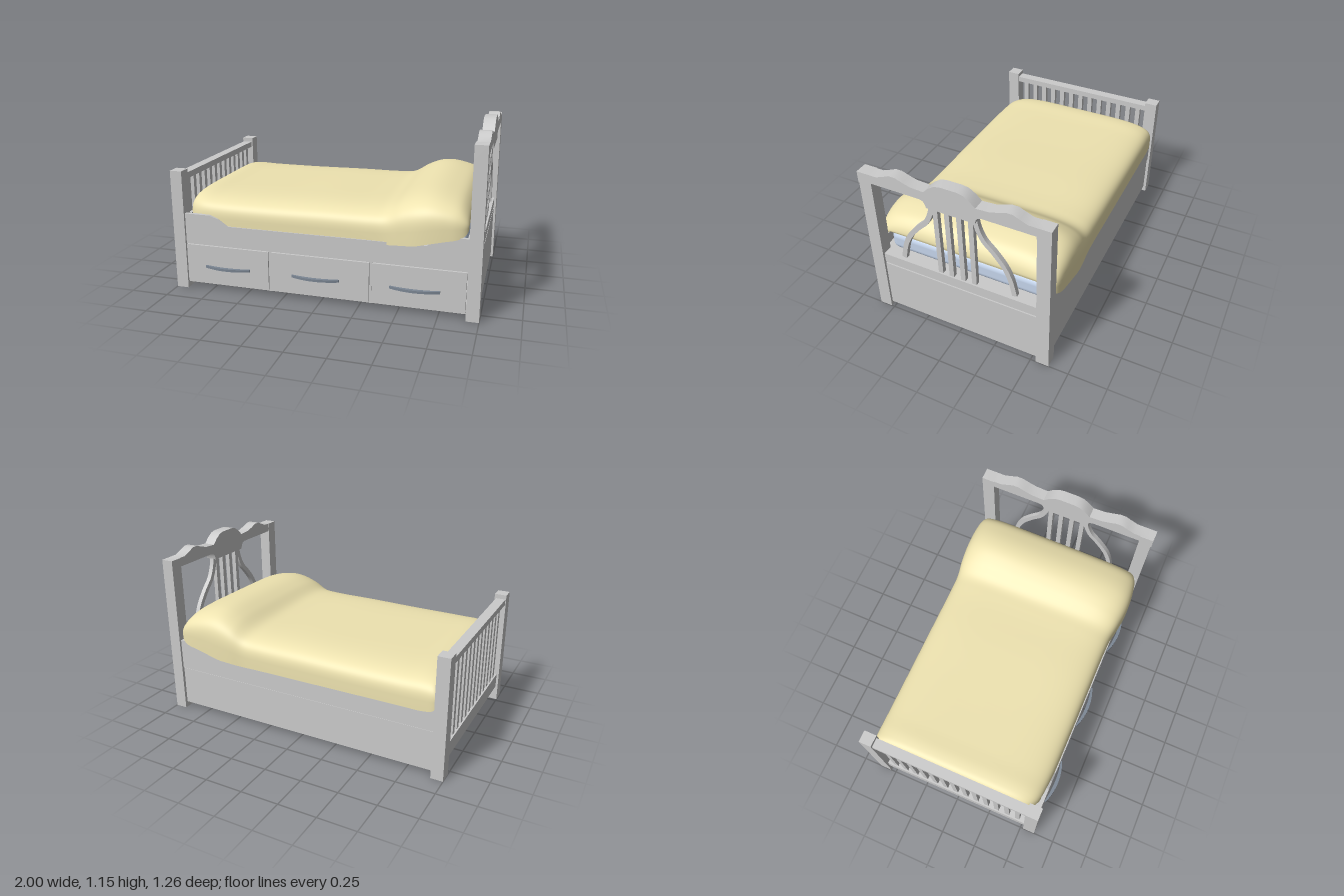
import * as THREE from 'three';
import { RoundedBoxGeometry } from 'three/addons/geometries/RoundedBoxGeometry.js';
import { toCreasedNormals } from 'three/addons/utils/BufferGeometryUtils.js';

const wood = new THREE.MeshStandardMaterial({ color: 0xcccccc });
const cloth = new THREE.MeshStandardMaterial({ color: 0xeee3b0, side: THREE.DoubleSide });
const sheet = new THREE.MeshStandardMaterial({ color: 0xc5d5ec });
const metal = new THREE.MeshStandardMaterial({ color: 0x7c8794 });

function add(parent, name, geometry, material = wood) {
  const mesh = new THREE.Mesh(geometry, material);
  mesh.name = name;
  parent.add(mesh);
  return mesh;
}

// Box given by its limits on each axis
function box(parent, name, [x0, x1], [y0, y1], [z0, z1]) {
  const g = new THREE.BoxGeometry(x1 - x0, y1 - y0, z1 - z0);
  g.translate((x0 + x1) / 2, (y0 + y1) / 2, (z0 + z1) / 2);
  return add(parent, name, g);
}

// Shape drawn across the bed (z, y), extruded along x
function acrossBed(shape, x0, x1) {
  const g = new THREE.ExtrudeGeometry(shape, { depth: x1 - x0, bevelEnabled: false, curveSegments: 10 });
  g.rotateY(Math.PI / 2);
  g.translate(x0, 0, -0.005);
  return toCreasedNormals(g, 0.5);
}

// Posts at both sides of one end
function posts(parent, x, height) {
  box(parent, 'frontPost', x, [0, height], [0.52, 0.605]);
  box(parent, 'backPost', x, [0, height], [-0.62, -0.535]);
}

function headboard() {
  const g = new THREE.Group();
  g.name = 'headboard';
  posts(g, [0.92, 1], 1.08);

  // Scalloped top rail with a central crest
  const half = [[0.615, 1.08], [0.48, 1.08], [0.43, 1.1], [0.39, 1.118], [0.35, 1.118], [0.3, 1.1],
    [0.25, 1.085], [0.165, 1.08], [0.13, 1.115], [0.09, 1.142], [0.05, 1.15]];
  const under = [[0.157, 0.97], [0.163, 0.995], [0.175, 1.013], [0.2, 1.02], [0.527, 1.02], [0.527, 1.0], [0.615, 1.0]];
  const right = [...under, ...half];
  const left = right.map(([z, y]) => [-z, y]).reverse();
  const rail = new THREE.Shape([...right, ...left].map(([z, y]) => new THREE.Vector2(z, y)));
  add(g, 'topRail', acrossBed(rail, 0.924, 1));

  // Straight and curved spindles
  for (const z of [0.113, 0.037, -0.042, -0.118]) {
    box(g, 'spindle', [0.945, 0.975], [0.45, 0.98], [z - 0.016, z + 0.016]);
  }
  const path = new THREE.SplineCurve([[0.14, 0.98], [0.153, 0.91], [0.19, 0.83], [0.25, 0.765],
    [0.315, 0.68], [0.355, 0.59], [0.38, 0.48]].map(p => new THREE.Vector2(...p)));
  for (const side of [1, -1]) {
    const a = [], b = [];
    for (let i = 0; i <= 24; i++) {
      const p = path.getPoint(i / 24), t = path.getTangent(i / 24);
      a.push(new THREE.Vector2(side * (p.x - t.y * 0.016), p.y + t.x * 0.016));
      b.unshift(new THREE.Vector2(side * (p.x + t.y * 0.016), p.y - t.x * 0.016));
    }
    add(g, 'curvedSpindle', acrossBed(new THREE.Shape([...a, ...b]), 0.945, 0.975));
  }

  // Lower rail and panel
  box(g, 'lowerRail', [0.925, 0.985], [0.39, 0.46], [-0.54, 0.525]);
  box(g, 'groove', [0.93, 0.975], [0.37, 0.4], [-0.54, 0.525]);
  box(g, 'lowerPanel', [0.925, 0.985], [0.03, 0.38], [-0.54, 0.525]);
  return g;
}

function footboard() {
  const g = new THREE.Group();
  g.name = 'footboard';
  posts(g, [-1, -0.92], 0.8);
  box(g, 'topRail', [-0.995, -0.93], [0.73, 0.77], [-0.54, 0.525]);
  box(g, 'bottomRail', [-0.985, -0.93], [0.1, 0.2], [-0.54, 0.525]);
  for (let i = 0; i < 13; i++) {
    const z = -0.475 + i * 0.078;
    box(g, 'slat', [-0.975, -0.945], [0.19, 0.74], [z - 0.017, z + 0.017]);
  }
  return g;
}

function base() {
  const g = new THREE.Group();
  g.name = 'base';
  // Front rail with a lowered middle
  const outline = [[-0.925, 0.31], [0.925, 0.31], [0.925, 0.515], [0.77, 0.515], [0.72, 0.495],
    [0.67, 0.45], [-0.62, 0.45], [-0.69, 0.495], [-0.75, 0.515], [-0.925, 0.515]];
  const rail = new THREE.ExtrudeGeometry(new THREE.Shape(outline.map(p => new THREE.Vector2(...p))),
    { depth: 0.025, bevelEnabled: false });
  rail.translate(0, 0, 0.565);
  add(g, 'frontRail', rail);
  box(g, 'backRail', [-0.925, 0.925], [0.31, 0.515], [-0.605, -0.575]);
  box(g, 'backPanel', [-0.925, 0.925], [0.04, 0.305], [-0.6, -0.575]);
  box(g, 'footPanel', [-0.935, -0.91], [0.04, 0.5], [-0.575, 0.565]);
  box(g, 'platform', [-0.92, 0.925], [0.41, 0.44], [-0.575, 0.565]);
  box(g, 'frontSill', [-0.92, 0.925], [0.035, 0.05], [0.55, 0.58]);
  for (const x of [-0.337, 0.328]) {
    box(g, 'divider', [x - 0.008, x + 0.008], [0.035, 0.41], [-0.575, 0.583]);
  }
  return g;
}

function drawer(x0, x1, handleX) {
  const g = new THREE.Group();
  g.name = 'drawer';
  box(g, 'drawerFront', [x0, x1], [0.045, 0.304], [0.565, 0.59]);
  box(g, 'drawerBottom', [x0, x1], [0.05, 0.065], [-0.35, 0.565]);
  box(g, 'drawerBack', [x0, x1], [0.05, 0.28], [-0.35, -0.33]);
  // Bowed crescent pull
  const s = new THREE.Shape();
  s.moveTo(-0.156, 0);
  s.quadraticCurveTo(0, 0.035, 0.156, 0);
  s.lineTo(0.156, 0.01);
  s.quadraticCurveTo(0, 0.072, -0.156, 0.01);
  const h = new THREE.ExtrudeGeometry(s, { depth: 0.016, bevelEnabled: false, curveSegments: 16 });
  h.rotateX(Math.PI / 2);
  h.translate(handleX, 0.17, 0.588);
  add(g, 'handle', toCreasedNormals(h, 0.5), metal);
  return g;
}

// Blanket lofted along x; it swells over the pillow
function blanketGeometry() {
  // x, top, bottom, front z, back z
  const stations = [
    [-0.925, 0.52, 0.5, 0.44, -0.58], [-0.924, 0.59, 0.46, 0.47, -0.6], [-0.9, 0.625, 0.44, 0.52, -0.61],
    [-0.84, 0.638, 0.43, 0.56, -0.612], [-0.7, 0.635, 0.43, 0.578, -0.612], [-0.35, 0.635, 0.43, 0.583, -0.612],
    [0, 0.641, 0.43, 0.583, -0.612], [0.3, 0.643, 0.43, 0.583, -0.612], [0.41, 0.654, 0.43, 0.588, -0.615],
    [0.51, 0.71, 0.44, 0.605, -0.627], [0.6, 0.743, 0.45, 0.618, -0.632], [0.68, 0.75, 0.47, 0.62, -0.632],
    [0.77, 0.735, 0.49, 0.612, -0.63], [0.85, 0.705, 0.505, 0.595, -0.622], [0.895, 0.655, 0.53, 0.57, -0.605],
    [0.91, 0.605, 0.56, 0.54, -0.585], [0.905, 0.582, 0.578, 0.52, -0.57]];
  const heights = new THREE.CatmullRomCurve3(stations.map(s => new THREE.Vector3(s[0], s[1], s[2])));
  const widths = new THREE.CatmullRomCurve3(stations.map(s => new THREE.Vector3(s[0], s[3], s[4])));
  const rows = 96, cols = 48, pos = [], index = [];
  for (let i = 0; i <= rows; i++) {
    const h = heights.getPoint(i / rows), w = widths.getPoint(i / rows);
    const mid = (w.y + w.z) / 2, half = (w.y - w.z) / 2;
    const tilt = 0.025 * THREE.MathUtils.smoothstep(h.x, 0.35, 0.65);
    for (let j = 0; j <= cols; j++) {
      // Side hem, rounded shoulder and flat top as a squared-off arch
      const a = Math.PI * j / cols, c = Math.cos(a), s = Math.max(0, Math.sin(a));
      const z = mid + half * Math.sign(c) * Math.pow(Math.abs(c), 0.42);
      const up = Math.pow(s, 0.42);
      pos.push(h.x, h.z + (h.y - h.z) * up - tilt * up * Math.max(-0.45, z) * (h.y - h.z) / 0.28, z);
    }
  }
  for (let i = 0; i < rows; i++) {
    for (let j = 0; j < cols; j++) {
      const a = i * (cols + 1) + j, b = a + cols + 1;
      index.push(a, b, a + 1, b, b + 1, a + 1);
    }
  }
  const g = new THREE.BufferGeometry();
  g.setAttribute('position', new THREE.Float32BufferAttribute(pos, 3));
  g.setIndex(index);
  g.computeVertexNormals();
  return g;
}

export function createModel() {
  const bed = new THREE.Group();
  bed.name = 'bed';
  bed.add(headboard(), footboard(), base());
  bed.add(drawer(-0.92, -0.347, -0.63), drawer(-0.327, 0.318, -0.03), drawer(0.338, 0.915, 0.605));

  const mattress = new RoundedBoxGeometry(1.8, 0.145, 1.07, 4, 0.05);
  mattress.translate(0, 0.51, -0.01);
  add(bed, 'mattress', mattress, sheet);
  add(bed, 'blanket', blanketGeometry(), cloth);
  return bed;
}
